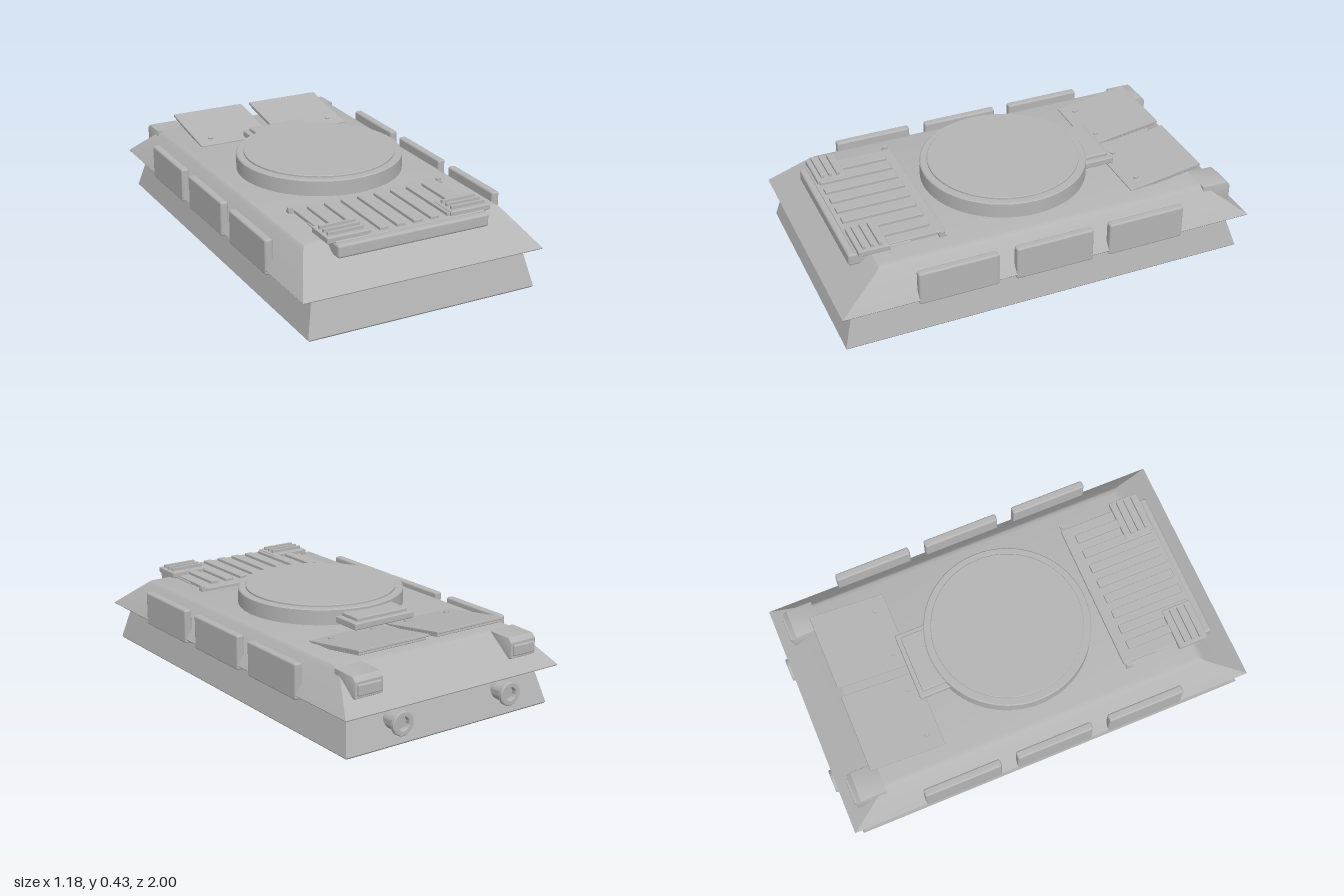
import * as THREE from 'three';
import { toCreasedNormals } from 'three/addons/utils/BufferGeometryUtils.js';
import { RoundedBoxGeometry } from 'three/addons/geometries/RoundedBoxGeometry.js';

export function createModel() {
  const model = new THREE.Group();
  model.name = 'armouredHull';
  const grey = new THREE.MeshStandardMaterial({ color: 0xb4b4b4 });
  grey.name = 'plainGrey';

  const add = (name, geometry, x = 0, y = 0, z = 0, parent = model) => {
    const mesh = new THREE.Mesh(geometry, grey);
    mesh.name = name;
    mesh.position.set(x, y, z);
    parent.add(mesh);
    return mesh;
  };

  // box given by its limits, with softened edges when r > 0
  const box = (name, x0, x1, y0, y1, z0, z1, r = 0) => {
    const w = x1 - x0, h = y1 - y0, d = z1 - z0;
    const g = r ? new RoundedBoxGeometry(w, h, d, 2, r) : new THREE.BoxGeometry(w, h, d);
    return add(name, g, (x0 + x1) / 2, (y0 + y1) / 2, (z0 + z1) / 2);
  };

  // closed solid from stacked rectangles: [y, half width, front z, back z]
  const loft = (rings) => {
    const pos = [];
    const corners = rings.map(([y, w, f, b]) => [[w, y, f], [w, y, b], [-w, y, b], [-w, y, f]]);
    const quad = (a, b, c, d) => pos.push(...a, ...b, ...c, ...a, ...c, ...d);
    for (let i = 0; i < rings.length - 1; i++) {
      for (let j = 0; j < 4; j++) {
        const k = (j + 1) % 4;
        quad(corners[i][j], corners[i][k], corners[i + 1][k], corners[i + 1][j]);
      }
    }
    const [a, b, c, d] = corners[0];
    quad(d, c, b, a);
    quad(...corners[corners.length - 1]);
    const g = new THREE.BufferGeometry();
    g.setAttribute('position', new THREE.Float32BufferAttribute(pos, 3));
    return toCreasedNormals(g, 0.55);
  };

  // turned part from [radius, height] points
  const lathe = (points, segments = 64) => toCreasedNormals(
    new THREE.LatheGeometry(points.map(([r, y]) => new THREE.Vector2(r, y)), segments), 0.6);

  // hull
  add('lowerHull', loft([
    [0, 0.55, 0.98, -0.943], [0.008, 0.557, 0.986, -0.95], [0.19, 0.515, 0.935, -0.89],
  ]));
  add('upperHull', loft([
    [0.185, 0.582, 0.998, -0.983], [0.19, 0.586, 1.0, -0.985], [0.325, 0.49, 0.81, -0.81],
    [0.338, 0.476, 0.792, -0.795], [0.345, 0.455, 0.77, -0.77],
  ]));

  // turret ring with raised lid
  add('turretRing', lathe([
    [0, 0.34], [0.385, 0.34], [0.39, 0.345], [0.39, 0.415], [0.385, 0.42],
    [0.355, 0.42], [0.355, 0.427], [0.352, 0.43], [0, 0.43],
  ], 80), 0, 0, 0.013);

  // stepped block behind the ring
  box('ringBlock', -0.165, 0.165, 0.355, 0.387, -0.485, -0.3, 0.006);
  box('ringBlockLid', -0.14, 0.14, 0.38, 0.404, -0.465, -0.3, 0.006);

  // front grille base, plate and ribs
  box('grilleBase', -0.37, 0.37, 0.295, 0.356, 0.6, 0.895, 0.012);
  box('grillePlate', -0.365, 0.365, 0.342, 0.361, 0.445, 0.865, 0.004);
  for (let i = 0; i < 8; i++) {
    const x = (i - 3.5) * 0.083;
    const outer = i === 0 || i === 7;
    box('grilleRib', x - 0.021, x + 0.021, 0.355, 0.375, 0.495, outer ? 0.73 : 0.845, 0.003);
  }

  const bolt = new THREE.CylinderGeometry(0.012, 0.012, 0.012, 16);
  const tailLightShape = new THREE.Shape([
    [-0.79, 0.335], [-0.905, 0.332], [-0.922, 0.315], [-0.922, 0.25], [-0.905, 0.24], [-0.79, 0.24],
  ].map(([z, y]) => new THREE.Vector2(-z, y)));

  for (const s of [1, -1]) {
    const side = s > 0 ? 'left' : 'right';
    const mirrored = (name, a, b, ...rest) =>
      box(side + name, Math.min(s * a, s * b), Math.max(s * a, s * b), ...rest);

    // stepped treads over the front corners of the grille
    mirrored('Tread', 0.2, 0.4, 0.353, 0.38, 0.712, 0.855, 0.004);
    for (const z of [0.75, 0.787, 0.825]) {
      mirrored('TreadSlat', 0.215, 0.385, 0.376, 0.394, z - 0.007, z + 0.007);
    }
    add(side + 'GrilleBolt', bolt, s * 0.378, 0.363, 0.465);
    mirrored('GrilleBoltTab', 0.35, 0.39, 0.342, 0.358, 0.45, 0.48);

    // side armour blocks
    for (const z of [0.465, 0.008, -0.445]) {
      mirrored('SidePanel', 0.55, 0.588, 0.166, 0.33, z - 0.187, z + 0.187, 0.01);
    }

    // tilted engine cover made of two stacked sheets
    const cover = new THREE.Group();
    cover.name = side + 'EngineCover';
    cover.position.set(s * 0.21, 0.366, -0.64);
    cover.rotation.x = 0.15;
    add('coverTop', new RoundedBoxGeometry(0.376, 0.012, 0.364, 1, 0.003), 0, 0.006, 0, cover);
    add('coverUnderside', new RoundedBoxGeometry(0.36, 0.014, 0.345, 1, 0.003), 0, -0.007, 0.003, cover);
    for (const x of [-0.115, 0.115]) add('coverBolt', bolt, x, 0.013, 0.118, cover);
    model.add(cover);

    // rear corner light housing and lens
    const housing = new THREE.ExtrudeGeometry(tailLightShape, {
      depth: 0.134, bevelEnabled: true, bevelSize: 0.006, bevelThickness: 0.006, bevelSegments: 2,
    });
    housing.translate(0, 0, -0.067);
    housing.rotateY(Math.PI / 2);
    add(side + 'RearLightHousing', toCreasedNormals(housing, 0.6), s * 0.425);
    mirrored('RearLightLens', 0.365, 0.485, 0.257, 0.307, -0.938, -0.9, 0.006);

    // rear pipe with flared, recessed rim
    const pipe = add(side + 'RearPipe', lathe([
      [0, 0], [0.043, 0], [0.043, 0.095], [0.034, 0.097], [0.034, 0.105], [0.052, 0.105],
      [0.055, 0.109], [0.055, 0.122], [0.051, 0.126], [0.032, 0.126], [0.029, 0.122],
      [0.029, 0.102], [0, 0.102],
    ], 32), s * 0.297, 0.115, -0.872);
    pipe.rotation.x = -Math.PI / 2;
  }

  return model;
}
